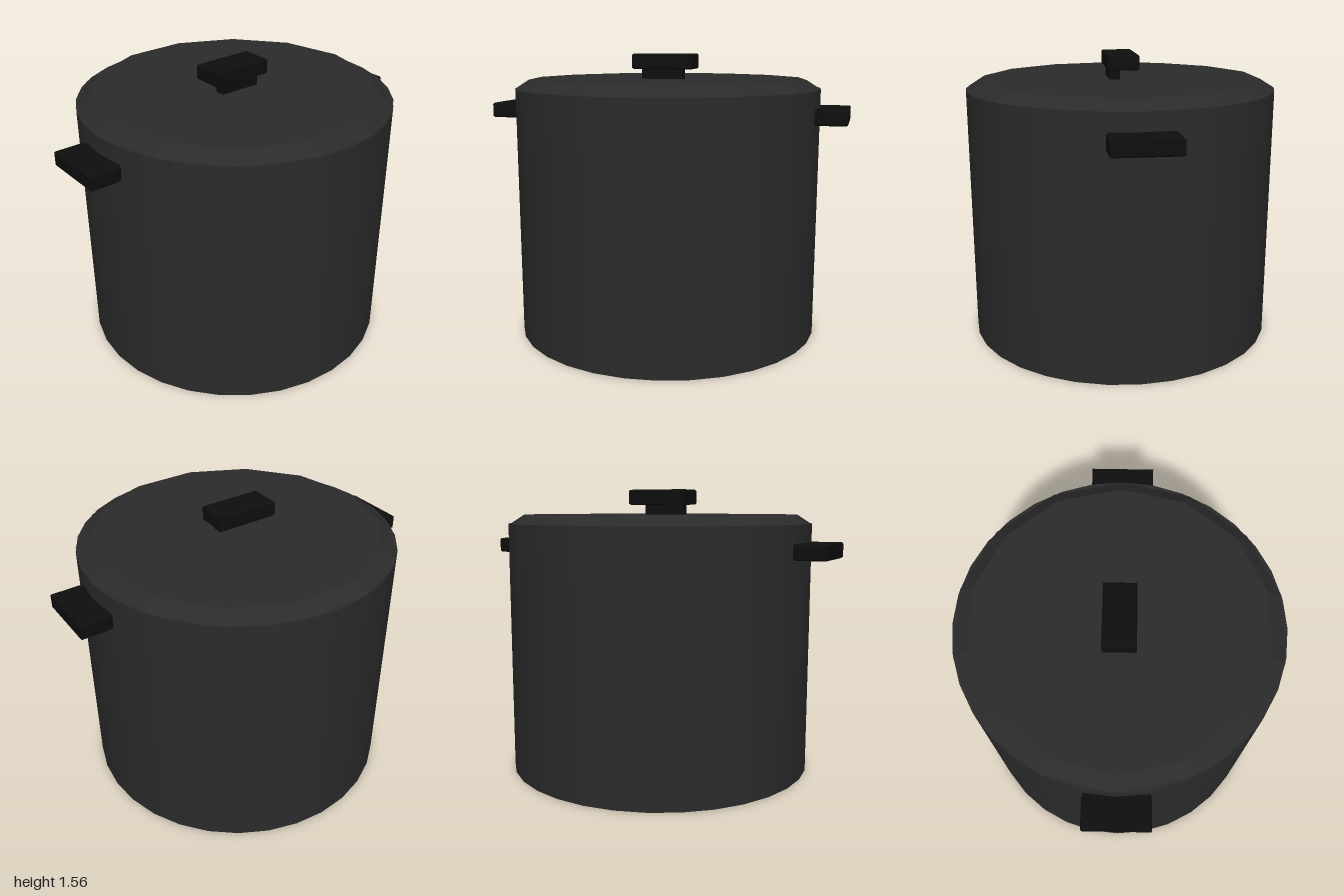
import * as THREE from 'three';

const enamel = new THREE.MeshStandardMaterial({ color: 0x2b2b2b });
const lidEnamel = new THREE.MeshStandardMaterial({ color: 0x2b2b2b, flatShading: true });
const plastic = new THREE.MeshStandardMaterial({ color: 0x0e0e0e, flatShading: true });

// Slab with a plan outline in (x, z), chamfered edges, spanning y0..y1
function slab(name, outline, y0, y1, bevel = 0.007) {
  const shape = new THREE.Shape(outline.map(([x, z]) => new THREE.Vector2(x, -z)));
  const geometry = new THREE.ExtrudeGeometry(shape, {
    depth: y1 - y0 - 2 * bevel,
    bevelThickness: bevel,
    bevelSize: bevel,
    bevelOffset: -bevel,
    bevelSegments: 1,
  });
  geometry.rotateX(-Math.PI / 2);
  geometry.translate(0, y0 + bevel, 0);
  const mesh = new THREE.Mesh(geometry, plastic);
  mesh.name = name;
  return mesh;
}

const rect = (x0, x1, z0, z1) => [[x0, z1], [x1, z1], [x1, z0], [x0, z0]];

export function createModel() {
  const group = new THREE.Group();
  group.name = 'cookingPot';
  const radius = 0.845, rimY = 1.375, lidY = 1.423;

  // Pot body
  const body = new THREE.Mesh(new THREE.CylinderGeometry(radius, radius, rimY, 32), enamel);
  body.name = 'potBody';
  body.position.y = rimY / 2;
  group.add(body);

  // Lid: shallow faceted frustum sitting on the rim
  const lid = new THREE.Mesh(new THREE.CylinderGeometry(0.77, radius, lidY - rimY, 14), lidEnamel);
  lid.name = 'lid';
  lid.position.y = (rimY + lidY) / 2;
  group.add(lid);

  // Side handles, narrowing slightly where they meet the wall
  const handlePlan = [[-0.17, 1], [0.17, 1], [0.17, 0.85], [0.155, 0.8], [-0.155, 0.8], [-0.17, 0.85]];
  ['frontHandle', 'backHandle'].forEach((name, i) => {
    const handle = slab(name, handlePlan, 1.197, 1.28);
    handle.rotation.y = i * Math.PI;
    group.add(handle);
  });

  // Lid knob: off-centre stem under a long grip
  const knob = new THREE.Group();
  knob.name = 'lidKnob';
  knob.add(slab('knobStem', rect(0.012, 0.067, -0.1, 0.132), 1.41, 1.49, 0.002));
  knob.add(slab('knobGrip', rect(-0.085, 0.085, -0.155, 0.185), 1.477, 1.56));
  group.add(knob);

  return group;
}
